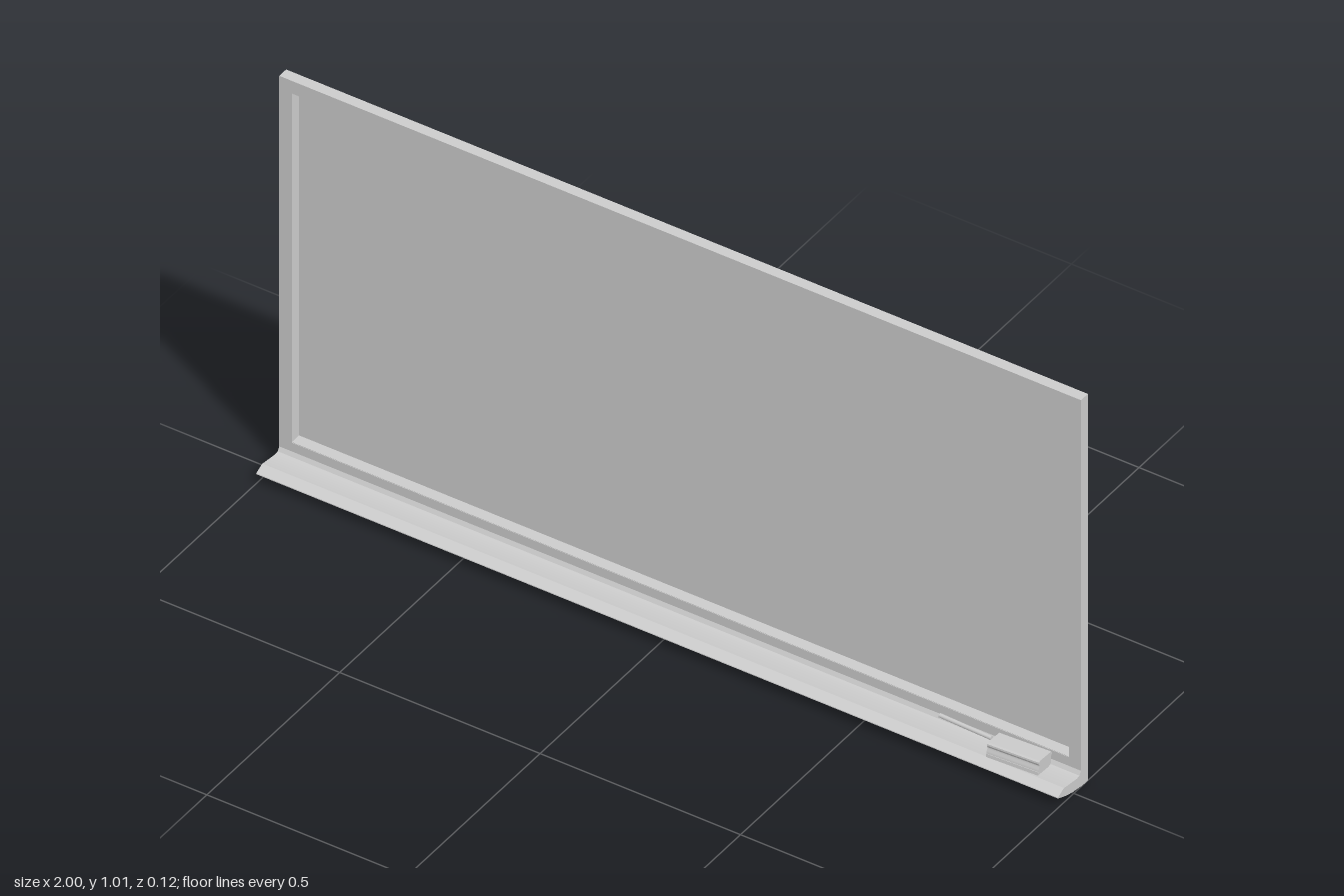
import * as THREE from 'three';
import { toCreasedNormals } from 'three/addons/utils/BufferGeometryUtils.js';

const material = new THREE.MeshStandardMaterial({ color: 0xcccccc, side: THREE.DoubleSide });

const TOP = 1.015, FRONT = -0.027, BACK = -0.053, BOARD_BACK = -0.058;

function add(parent, name, geometry, x = 0, y = 0, z = 0) {
  const mesh = new THREE.Mesh(geometry, material);
  mesh.name = name;
  mesh.position.set(x, y, z);
  parent.add(mesh);
  return mesh;
}

// Rectangular ring between two bounds [halfWidth, bottom, top], from z0 forward to z1
function ring(outer, inner, z0, z1) {
  const trace = (path, [w, b, t]) =>
    path.moveTo(-w, b).lineTo(w, b).lineTo(w, t).lineTo(-w, t).closePath();
  const shape = trace(new THREE.Shape(), outer);
  shape.holes.push(trace(new THREE.Path(), inner));
  return new THREE.ExtrudeGeometry(shape, { depth: z1 - z0, bevelEnabled: false }).translate(0, 0, z0);
}

// Extrude a [z, y] profile along x, centred
function alongX(points, length) {
  const shape = new THREE.Shape(points.map(([z, y]) => new THREE.Vector2(z, y)));
  const geometry = new THREE.ExtrudeGeometry(shape, { depth: length, bevelEnabled: false });
  geometry.rotateY(-Math.PI / 2).translate(length / 2, 0, 0);
  return toCreasedNormals(geometry, 0.5);
}

export function createModel() {
  const model = new THREE.Group();
  model.name = 'chalkboard';

  // Frame: a channel open to the back, made of face, outer rim and inner wall
  const frame = new THREE.Group();
  frame.name = 'frame';
  model.add(frame);
  add(frame, 'frameFace', ring([1, 0.033, TOP], [0.97, 0.065, 0.982], FRONT - 0.003, FRONT));
  add(frame, 'innerWall', ring([0.972, 0.063, 0.984], [0.969, 0.066, 0.981], BOARD_BACK, FRONT - 0.001));
  add(frame, 'topRim', new THREE.BoxGeometry(2, 0.004, FRONT - BACK), 0, TOP - 0.002, (FRONT + BACK) / 2);
  for (const side of [-1, 1]) {
    add(frame, side > 0 ? 'leftRim' : 'rightRim',
      new THREE.BoxGeometry(0.004, TOP, FRONT - BACK), side * 0.998, TOP / 2, (FRONT + BACK) / 2);
  }

  // Writing board set at the back of the frame
  add(model, 'board', new THREE.BoxGeometry(1.942, 0.919, 0.003), 0, 0.5235, BOARD_BACK + 0.0015);

  // Tray: hollow shell with a curved underside and a sloping ledge
  const tray = new THREE.Group();
  tray.name = 'tray';
  model.add(tray);
  const underside = new THREE.QuadraticBezierCurve(
    new THREE.Vector2(BACK, 0), new THREE.Vector2(0.01, 0.001), new THREE.Vector2(0.06, 0.025),
  ).getPoints(10).map((p) => [p.x, p.y]);
  const ledge = [[0.0595, 0.027], [0.037, 0.038], [0.033, 0.037], [-0.012, 0.031], [-0.021, 0.033], [FRONT, 0.042]];
  const inside = [[-0.029, 0.039], [-0.022, 0.03], [-0.012, 0.028], [0.033, 0.034], [0.05, 0.024],
    [0.03, 0.0135], [0.003, 0.0055], [-0.025, 0.003], [BACK, 0.002]];
  add(tray, 'trayShell', alongX([...underside, ...ledge, ...inside], 2));
  for (const side of [-1, 1]) {
    add(tray, side > 0 ? 'leftTrayEnd' : 'rightTrayEnd',
      alongX([...underside, ...ledge, [BACK, 0.042]], 0.003), side * 0.9985);
  }

  // Eraser resting on the ledge: felt pad under a grooved grip
  const eraser = new THREE.Group();
  eraser.name = 'eraser';
  eraser.position.set(0.867, 0.034, 0.008);
  eraser.rotation.set(-0.14, 0.06, 0);
  model.add(eraser);
  add(eraser, 'felt', new THREE.BoxGeometry(0.125, 0.008, 0.055), 0, 0.004, 0);
  const half = [[0.026, 0.008], [0.026, 0.014], [0.024, 0.018], [0.024, 0.022], [0.027, 0.027], [0.027, 0.031], [0.024, 0.034]];
  const grip = [...half, ...half.map(([z, y]) => [-z, y]).reverse()];
  add(eraser, 'grip', alongX(grip, 0.125));

  // Chalk stick lying in the tray groove
  const chalk = add(model, 'chalk',
    new THREE.CylinderGeometry(0.005, 0.005, 0.133, 12).rotateZ(Math.PI / 2), 0.717, 0.042, -0.02);
  chalk.rotation.y = -0.04;

  return model;
}
